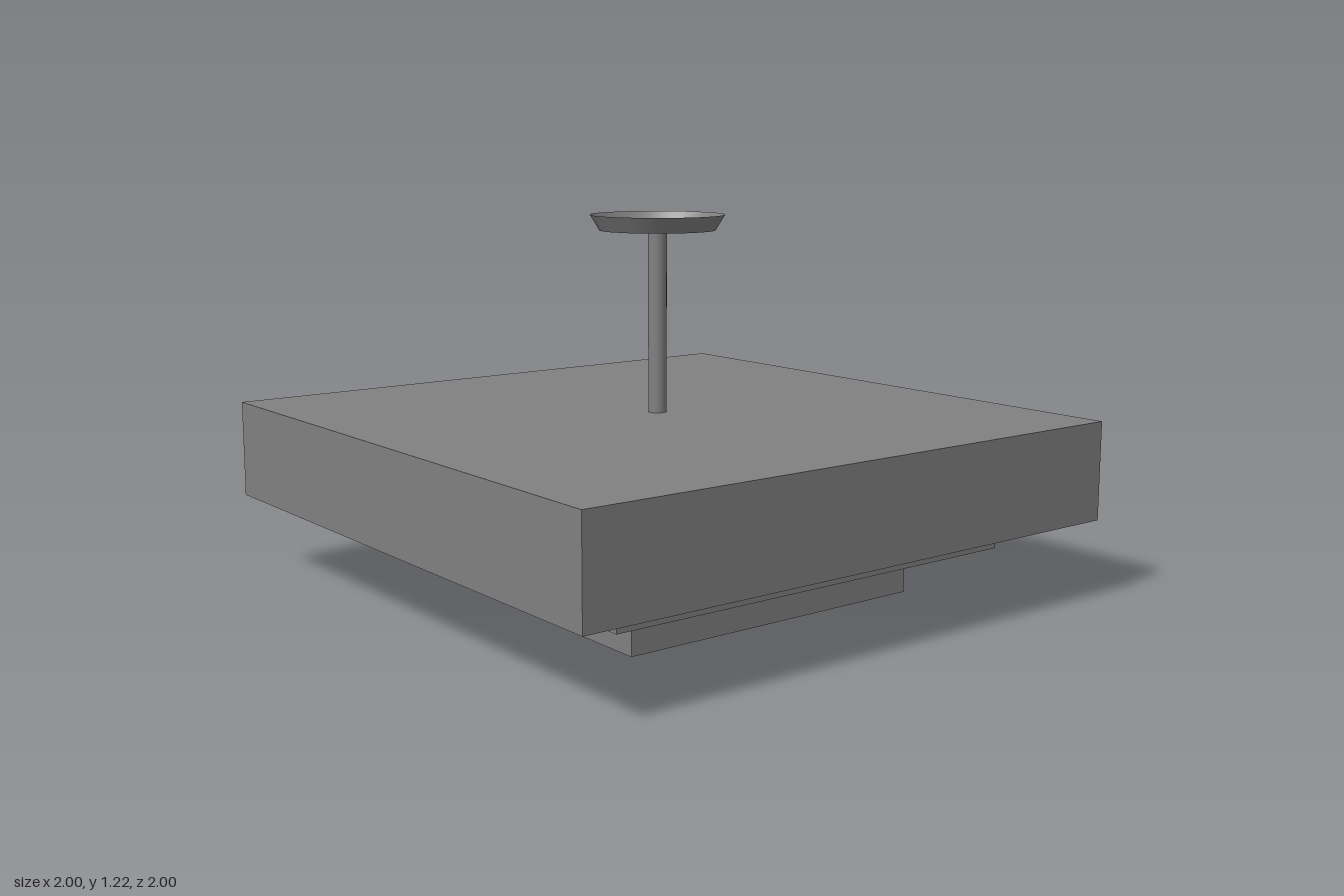
import * as THREE from 'three';

const material = new THREE.MeshStandardMaterial({ color: 0x808080 });
const thinMaterial = new THREE.MeshStandardMaterial({ color: 0x808080, side: THREE.DoubleSide });
const WALL = 0.02;
const SHADE_TOP = 0.58;

function addMesh(parent, name, geometry, x = 0, y = 0, z = 0, mat = material) {
  const mesh = new THREE.Mesh(geometry, mat);
  mesh.name = name;
  mesh.position.set(x, y, z);
  parent.add(mesh);
}

// Trace a centred square on a Shape or Path
function square(path, half) {
  path.moveTo(-half, -half);
  path.lineTo(half, -half);
  path.lineTo(half, half);
  path.lineTo(-half, half);
  path.closePath();
  return path;
}

// Square thin-walled frame standing between two heights
function frameGeometry(half, bottom, top) {
  const shape = square(new THREE.Shape(), half);
  shape.holes.push(square(new THREE.Path(), half - WALL));
  const geometry = new THREE.ExtrudeGeometry(shape, { depth: top - bottom, bevelEnabled: false });
  geometry.rotateX(-Math.PI / 2);
  geometry.translate(0, bottom, 0);
  return geometry;
}

export function createModel() {
  const group = new THREE.Group();
  group.name = 'pendantLamp';

  // Outer shade: closed on top, open below
  const ceiling = SHADE_TOP - 0.01;
  addMesh(group, 'outerShadeWalls', frameGeometry(1, 0.26, ceiling));
  addMesh(group, 'outerShadeTop', new THREE.BoxGeometry(2, 0.01, 2), 0, SHADE_TOP - 0.005, 0);

  // Middle shade: open frame hanging from the top panel
  addMesh(group, 'middleShade', frameGeometry(0.754, 0.158, ceiling), 0.021, 0, 0.021);

  // Inner shade: frame closed by a diffuser panel at the bottom
  const inner = new THREE.Group();
  inner.name = 'innerShade';
  inner.position.set(0.024, 0, 0.014);
  group.add(inner);
  addMesh(inner, 'innerShadeWalls', frameGeometry(0.553, 0.01, ceiling));
  addMesh(inner, 'diffuser', new THREE.BoxGeometry(1.106, 0.01, 1.106), 0, 0.005, 0);

  // Hanging rod, its end showing just above the canopy floor
  const rodTop = 1.176;
  addMesh(group, 'rod', new THREE.CylinderGeometry(0.03, 0.03, rodTop - SHADE_TOP, 32),
    0, (rodTop + SHADE_TOP) / 2, 0);

  // Ceiling canopy: flared dish, open at the top
  addMesh(group, 'canopyRim', new THREE.CylinderGeometry(0.217, 0.187, 0.05, 48, 1, true),
    0, 1.195, 0, thinMaterial);
  const floor = new THREE.CircleGeometry(0.187, 48).rotateX(-Math.PI / 2);
  addMesh(group, 'canopyFloor', floor, 0, 1.17, 0, thinMaterial);

  return group;
}
